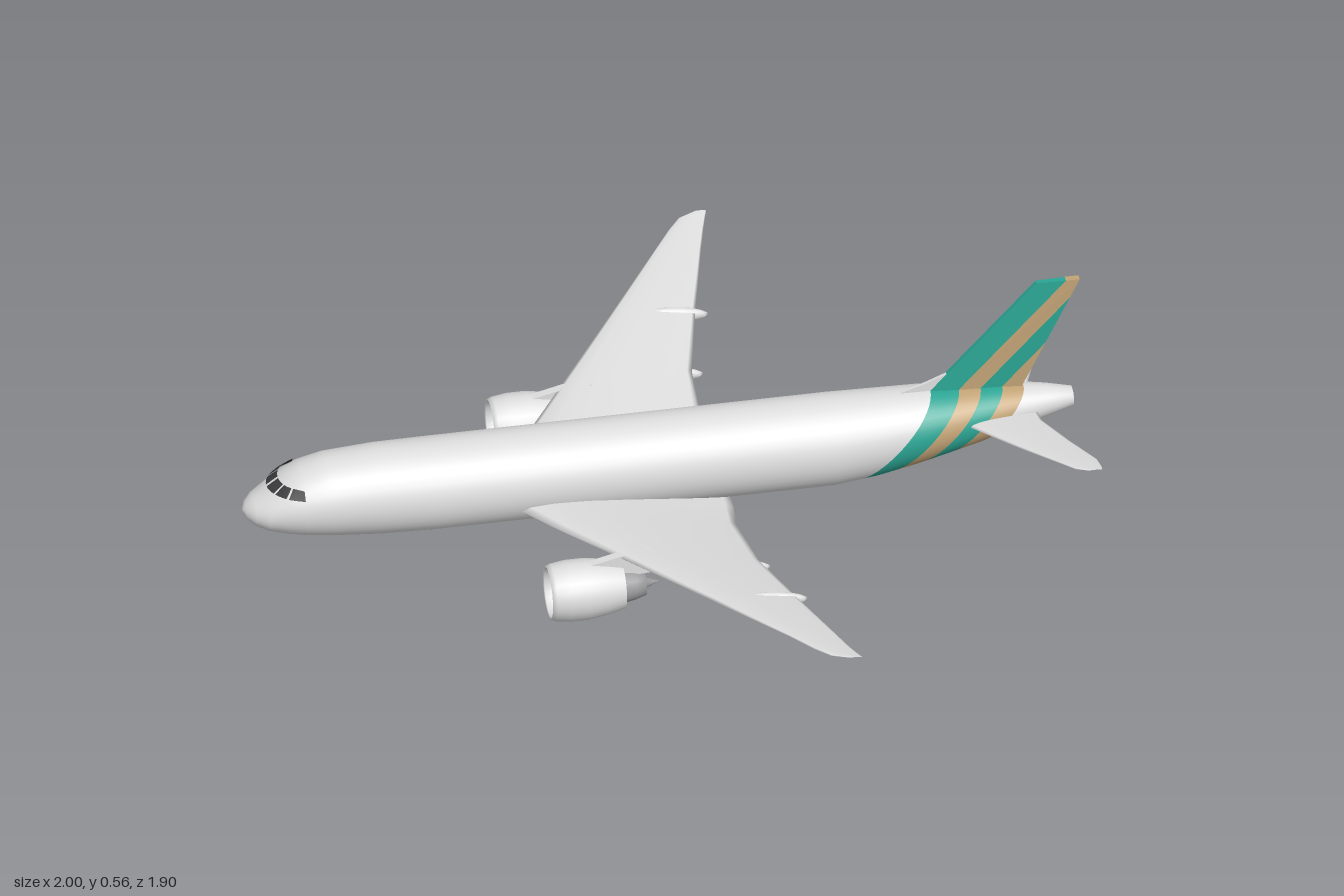
import * as THREE from 'three';

const mat = (name, color, side = THREE.FrontSide) => {
  const m = new THREE.MeshStandardMaterial({ color, side });
  m.name = name;
  return m;
};

// Fuselage stations: x, top y, bottom y, half width
const STATIONS = [
  [-1, 0.161, 0.155, 0.003], [-0.993, 0.178, 0.139, 0.025], [-0.975, 0.195, 0.123, 0.047],
  [-0.945, 0.213, 0.109, 0.067], [-0.9, 0.246, 0.097, 0.085], [-0.86, 0.265, 0.089, 0.094],
  [-0.8, 0.28, 0.081, 0.101], [-0.68, 0.288, 0.071, 0.107], [-0.55, 0.289, 0.067, 0.108],
  [0.4, 0.289, 0.067, 0.108], [0.5, 0.288, 0.08, 0.104], [0.6, 0.286, 0.102, 0.097],
  [0.7, 0.282, 0.127, 0.084], [0.8, 0.276, 0.152, 0.067], [0.9, 0.264, 0.18, 0.046],
  [0.978, 0.247, 0.202, 0.026],
];
const SLANT = 0.93;                                     // stripe lean: x gained per y
const BANDS = [0.375, 0.445, 0.5, 0.555, 0.612];        // stripe edges, as x - SLANT * y

function station(x) {
  let i = 0;
  while (i < STATIONS.length - 2 && x > STATIONS[i + 1][0]) i++;
  const a = STATIONS[i], b = STATIONS[i + 1];
  const f = THREE.MathUtils.clamp((x - a[0]) / (b[0] - a[0]), 0, 1);
  const [, top, bottom, width] = a.map((v, k) => v + (b[k] - v) * f);
  return { top, bottom, width, mid: (top + bottom) / 2, r: (top - bottom) / 2 };
}

// Skin over rows of points; each row strip may take its own material index
function skin(rows, closed, strips) {
  const n = rows[0].length, idx = [], g = new THREE.BufferGeometry();
  const cols = closed ? n : n - 1;
  for (let i = 0; i < rows.length - 1; i++) {
    if (strips) g.addGroup(idx.length, cols * 6, strips[i]);
    for (let j = 0; j < cols; j++) {
      const k = (j + 1) % n, a = i * n, b = a + n;
      idx.push(a + j, b + j, b + k, a + j, b + k, a + k);
    }
  }
  g.setAttribute('position', new THREE.Float32BufferAttribute(rows.flat(2), 3));
  g.setIndex(idx);
  g.computeVertexNormals();
  return g;
}

// Ring round the fuselage where x - slant * y = u
function ring(u, slant = 0, n = 36) {
  return Array.from({ length: n }, (_, j) => {
    const a = (j / n) * Math.PI * 2;
    let y = 0.18, x = u;
    for (let k = 0; k < 30; k++) {
      x = u + slant * y;
      const s = station(x);
      y = s.mid + s.r * Math.sin(a);
    }
    return [x, y, station(x).width * Math.cos(a)];
  });
}

// Lifting surface from sections: z, front x, rear x, front y, rear y, thickness
function wing(sections, side) {
  const n = 16;
  const rows = sections.map(([z, x0, x1, y0, y1, t]) => Array.from({ length: n }, (_, j) => {
    const a = (j / n) * Math.PI * 2, c = (Math.cos(a) + 1) / 2;
    return [x0 + (x1 - x0) * c, y0 + (y1 - y0) * c + t * 0.5 * Math.sin(a) * (1.25 - 0.65 * c), z * side];
  }));
  if (side > 0) rows.reverse();
  return skin(rows, true);
}

// Keep the part of a polygon where sign * (x - SLANT * y - u) >= 0
function clip(poly, u, sign) {
  const d = (p) => sign * (p[0] - SLANT * p[1] - u), out = [];
  poly.forEach((p, i) => {
    const q = poly[(i + 1) % poly.length], dp = d(p), dq = d(q);
    if (dp >= 0) out.push(p);
    if (dp * dq < 0) out.push(p.map((v, k) => v + (q[k] - v) * dp / (dp - dq)));
  });
  return out;
}

function plate(poly, depth) {
  const shape = new THREE.Shape(poly.map((p) => new THREE.Vector2(...p)));
  return new THREE.ExtrudeGeometry(shape, { depth, bevelEnabled: false }).translate(0, 0, -depth / 2);
}

// Turned part along x from [radius, x] points, listed rear to front
function turned(points, sides = 24) {
  return new THREE.LatheGeometry(points.map(([r, x]) => new THREE.Vector2(r, -x)), sides).rotateZ(Math.PI / 2);
}

export function createModel() {
  const model = new THREE.Group();
  const white = mat('body white', 0xdedede), teal = mat('stripe teal', 0x2ba594);
  const tan = mat('stripe tan', 0xc2a376), dark = mat('dark grey', 0x3c3c3e, THREE.DoubleSide);
  const grey = mat('exhaust grey', 0x9c9c9e);
  const add = (name, geometry, material, parent = model) => {
    const m = new THREE.Mesh(geometry, material);
    m.name = name;
    parent.add(m);
    return m;
  };

  // Fuselage, with slanted rings where the tail stripes run
  const rows = [], strips = [];
  const push = (row, m) => { if (rows.length) strips.push(m); rows.push(row); };
  STATIONS.filter((s) => s[0] <= 0.4).forEach((s) => push(ring(s[0]), 0));
  push(ring(0.375, SLANT), 0);
  for (let b = 0; b < 4; b++) {
    const mid = (BANDS[b] + BANDS[b + 1]) / 2;
    push(ring(mid, SLANT), 1 + (b % 2));
    push(ring(BANDS[b + 1], SLANT), 1 + (b % 2));
  }
  push(ring(0.92), 0);
  push(ring(0.978), 0);
  const end = rows[rows.length - 1];
  push(end.map((p) => [p[0], 0.2245 + (p[1] - 0.2245) * 0.65, p[2] * 0.65]), 0);
  push(end.map(() => [0.965, 0.2245, 0]), 3);
  add('fuselage', skin(rows, true, strips), [white, teal, tan, dark]);

  // Cockpit panes, laid just outside the nose
  for (const side of [1, -1]) {
    [[0.04, 0.36], [0.41, 0.67], [0.72, 1]].forEach(([t0, t1]) => {
      const pane = [0, 0.5, 1].map((v) => Array.from({ length: 6 }, (_, j) => {
        const t = t0 + (t1 - t0) * j / 5, y = 0.217 + 0.02 * v;
        const x0 = -0.945 + (y - 0.213) / 0.033 * 0.045;
        const x = x0 + (-0.862 - x0) * t * t, s = station(x);
        const z = s.width * Math.sqrt(Math.max(0, 1 - ((y - s.mid) / s.r) ** 2));
        return [x - 0.003, y + 0.003, side * (z + 0.003 * t)];
      }));
      add('cockpitWindow', skin(pane, false), dark);
    });
  }

  // Striped fin, thickest at mid chord, and its dorsal fillet
  const fin = [[0.631, 0.275], [0.856, 0.265], [0.995, 0.556], [0.892, 0.556]];
  for (let b = 0; b < 4; b++) {
    const g = plate(clip(clip(fin, BANDS[b], 1), BANDS[b + 1], -1), 0.02);
    const p = g.attributes.position;
    for (let i = 0; i < p.count; i++) {
      const u = p.getX(i) - SLANT * p.getY(i);
      const half = 0.003 + 0.006 * Math.max(0, 1 - Math.abs(u - 0.46) / 0.15);
      p.setZ(i, Math.sign(p.getZ(i)) * half);
    }
    g.computeVertexNormals();
    add('finStripe', g, b % 2 ? tan : teal);
  }
  add('dorsalFillet', plate([[0.55, 0.28], [0.66, 0.27], [0.678, 0.326], [0.63, 0.306]], 0.008), white);

  const wingSections = [
    [0.04, -0.4, 0.155, 0.13, 0.082, 0.06], [0.11, -0.345, 0.15, 0.136, 0.088, 0.056],
    [0.2, -0.285, 0.138, 0.142, 0.103, 0.045], [0.4, -0.145, 0.15, 0.16, 0.135, 0.03],
    [0.61, 0, 0.2, 0.178, 0.163, 0.02], [0.82, 0.143, 0.255, 0.196, 0.188, 0.012],
    [0.89, 0.19, 0.274, 0.201, 0.196, 0.009], [0.93, 0.222, 0.286, 0.205, 0.202, 0.007],
    [0.95, 0.265, 0.292, 0.207, 0.206, 0.002],
  ];
  const tailSections = [
    [0.02, 0.68, 0.885, 0.215, 0.217, 0.022], [0.085, 0.725, 0.89, 0.22, 0.222, 0.018],
    [0.2, 0.81, 0.935, 0.232, 0.233, 0.012], [0.3, 0.888, 0.978, 0.244, 0.244, 0.008],
    [0.34, 0.92, 0.982, 0.249, 0.249, 0.006], [0.355, 0.95, 0.98, 0.251, 0.251, 0.002],
  ];

  for (const side of [1, -1]) {
    add('wing', wing(wingSections, side), white);
    add('tailplane', wing(tailSections, side), white);

    // Flap track fairings under the trailing edge
    for (const [x, y, z] of [[0.1, 0.126, 0.41], [0.15, 0.159, 0.605]]) {
      const pod = add('flapFairing', new THREE.SphereGeometry(1, 14, 10), white);
      pod.scale.set(0.08, 0.018, 0.014);
      pod.position.set(x, y, z * side);
      pod.rotation.z = -0.12;
    }

    // Engine: cowling, fan, spinner, exhaust and pylon
    const engine = new THREE.Group();
    engine.name = 'engine';
    engine.position.set(0, 0.074, 0.355 * side);
    model.add(engine);
    add('cowling', turned([[0.056, -0.163], [0.066, -0.205], [0.073, -0.25], [0.073, -0.295],
      [0.068, -0.33], [0.063, -0.341], [0.058, -0.338], [0.055, -0.32], [0.055, -0.28]]), white, engine);
    add('fan', turned([[0.056, -0.285], [0, -0.285]]), dark, engine);
    add('spinner', turned([[0.018, -0.285], [0.011, -0.303], [0, -0.313]], 16), grey, engine);
    add('bypassDuct', turned([[0.03, -0.172], [0.058, -0.172]]), dark, engine);
    add('exhaust', turned([[0, -0.075], [0.014, -0.108], [0.03, -0.11], [0.038, -0.135], [0.046, -0.18]], 18), grey, engine);
    add('pylon', plate([[-0.28, 0.06], [-0.24, 0.045], [-0.16, 0.03], [-0.09, 0.035], [0, 0.075],
      [-0.1, 0.09], [-0.165, 0.088]], 0.022), white, engine);
  }
  return model;
}
